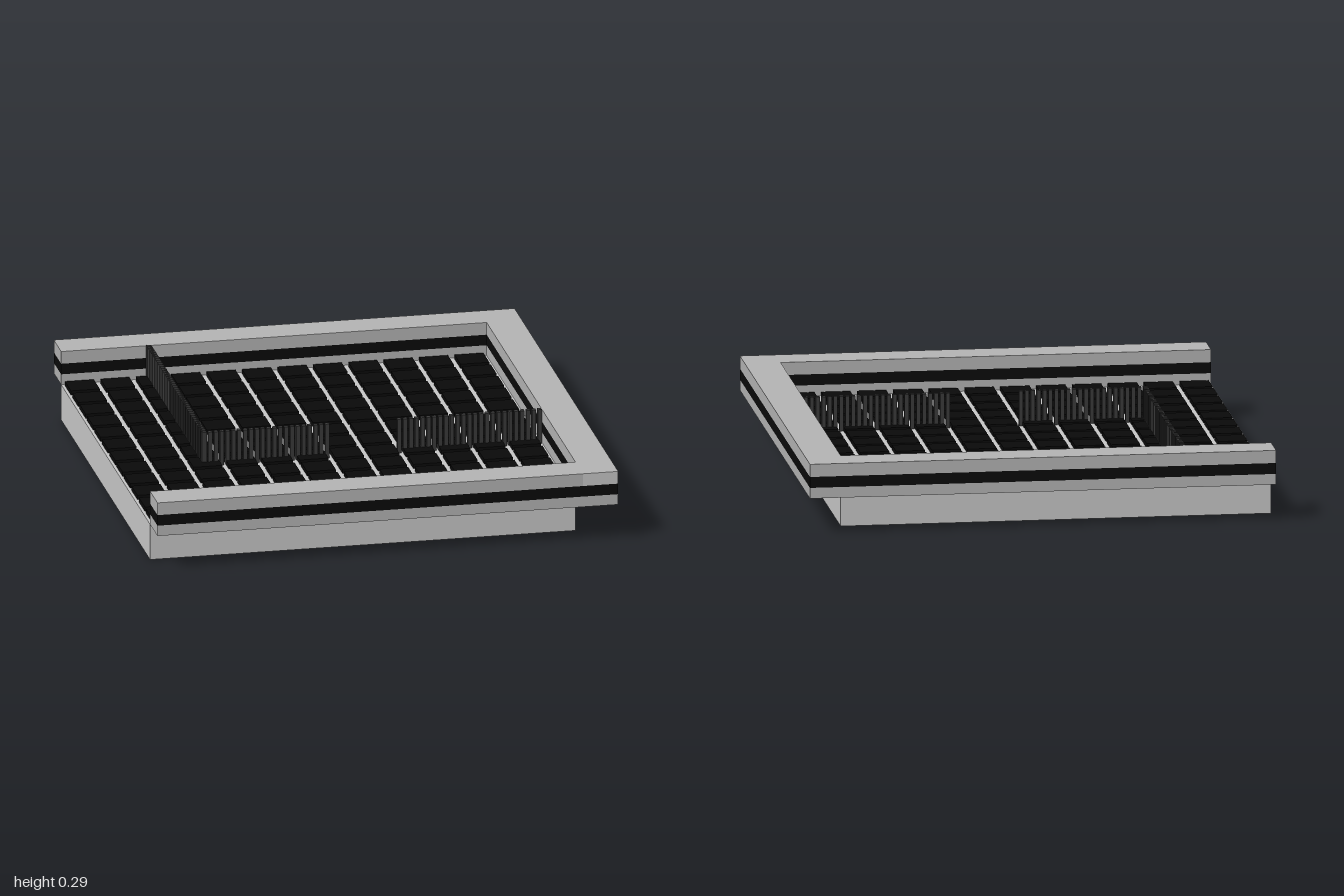
import * as THREE from 'three';

export function createModel() {
  const model = new THREE.Group();
  model.name = 'tiledPlatform';

  const mat = (name, color) => {
    const m = new THREE.MeshStandardMaterial({ color });
    m.name = name;
    return m;
  };
  const lightGrey = mat('lightGrey', 0xc8c8c8);
  const midGrey = mat('midGrey', 0xb4b4b4);
  const black = mat('black', 0x0a0a0a);
  const darkGrey = mat('darkGrey', 0x3a3a3a);

  // Box given by its two extreme corners
  const box = (parent, name, material, x0, x1, y0, y1, z0, z1) => {
    const mesh = new THREE.Mesh(new THREE.BoxGeometry(x1 - x0, y1 - y0, z1 - z0), material);
    mesh.position.set((x0 + x1) / 2, (y0 + y1) / 2, (z0 + z1) / 2);
    mesh.name = name;
    parent.add(mesh);
    return mesh;
  };
  const group = (name) => {
    const g = new THREE.Group();
    g.name = name;
    model.add(g);
    return g;
  };

  const LEFT = 0.785, RIGHT = -0.927, DECK = 0.147, TOP = 0.285;

  // Base made of slabs laid side by side
  const base = group('base');
  const joints = [RIGHT, -0.505, -0.215, 0.07, 0.357, 0.64, LEFT];
  for (let i = 0; i < joints.length - 1; i++) {
    box(base, 'baseSlab', lightGrey, joints[i], joints[i + 1], 0, DECK, -0.857, 0.857);
  }

  // Raised square floor tiles
  const tiles = group('floorTiles');
  const pitch = 0.1425, half = 0.058;
  for (let i = 0; i < 12; i++) {
    for (let j = 0; j < 12; j++) {
      const x = -0.857 + i * pitch, z = (j - 5.5) * pitch;
      box(tiles, 'floorTile', black, x - half, x + half, DECK, DECK + 0.018, z - half, z + half);
    }
  }

  // Three edge walls, each with a black band running right through
  const wall = (name, x0, x1, z0, z1, capMaterial) => {
    const g = group(name);
    box(g, 'wallFoot', midGrey, x0, x1, DECK, 0.19, z0, z1);
    box(g, 'wallBand', black, x0, x1, 0.19, 0.234, z0, z1);
    box(g, 'wallCap', capMaterial, x0, x1, 0.234, TOP, z0, z1);
  };
  wall('frontWall', RIGHT, LEFT, 0.857, 1, midGrey);
  wall('backWall', RIGHT, LEFT, -1, -0.857, midGrey);
  const capFaces = [midGrey, midGrey, midGrey, midGrey, lightGrey, midGrey];
  wall('leftWall', LEFT, 0.927, -1, 1, capFaces);

  // Slatted fence: one long run, a corner, then two runs with a gateway between
  const fence = group('fence');
  const slats = (xa, za, xb, zb) => {
    const length = Math.hypot(xb - xa, zb - za);
    const n = Math.round(length / 0.0238);
    const alongX = Math.abs(xb - xa) > Math.abs(zb - za);
    const w = alongX ? 0.008 : 0.01, d = alongX ? 0.01 : 0.008;
    for (let i = 0; i <= n; i++) {
      const x = xa + ((xb - xa) * i) / n, z = za + ((zb - za) * i) / n;
      box(fence, 'fenceSlat', darkGrey, x - w, x + w, DECK, 0.288, z - d, z + d);
    }
  };
  slats(-0.575, -0.848, -0.575, 0.21);
  slats(-0.551, 0.21, -0.08, 0.21);
  slats(0.21, 0.21, 0.775, 0.21);

  return model;
}
